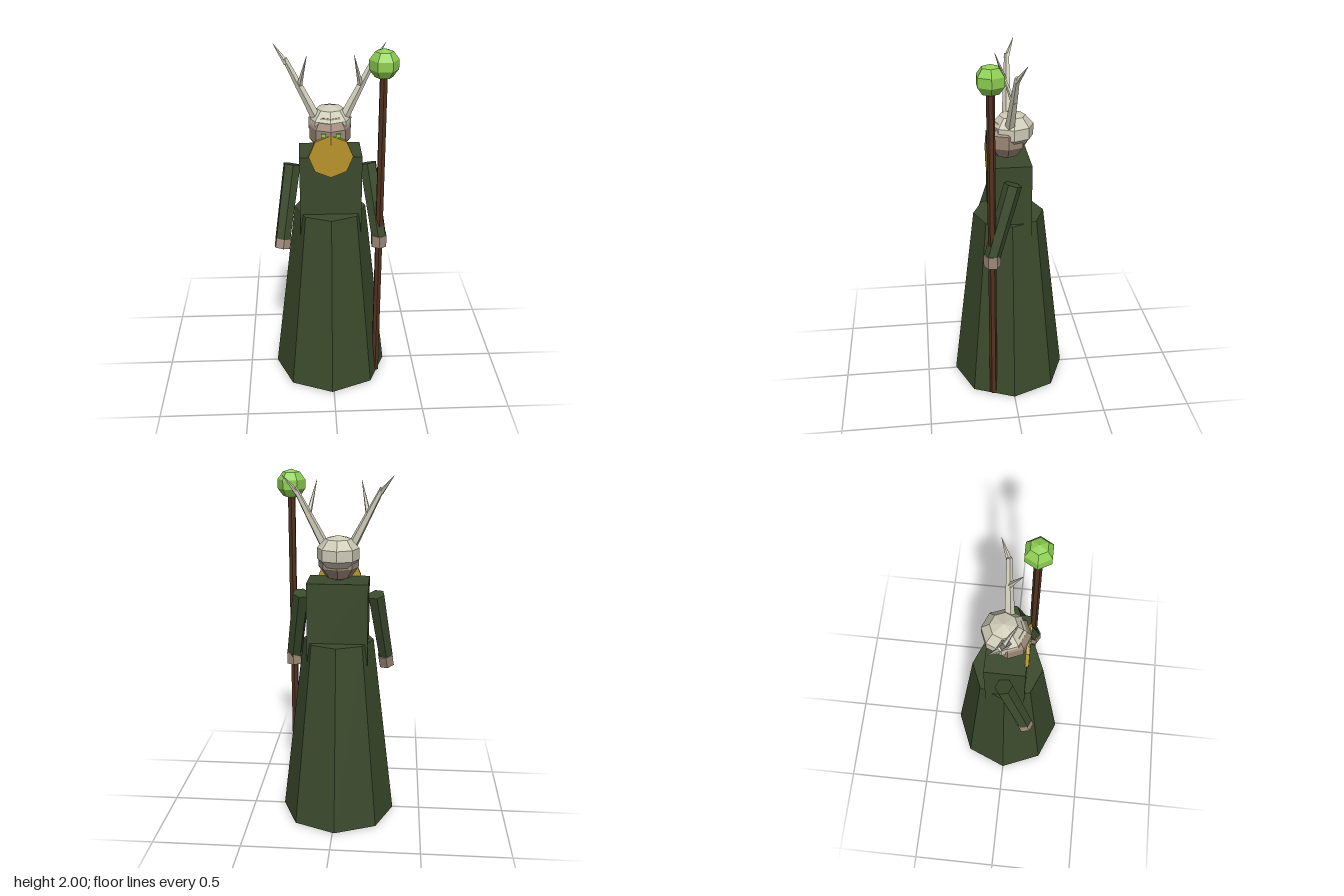
import * as THREE from 'three';

const mat = (name, color) => {
  const m = new THREE.MeshStandardMaterial({ color, flatShading: true });
  m.name = name;
  return m;
};

export function createModel() {
  const robeGreen = mat('robe green', 0x3b4a2c);
  const skin = mat('weathered skin', 0x9c8978);
  const bone = mat('bone', 0xd0ccb9);
  const gold = mat('golden beard', 0xb8942c);
  const wood = mat('dark wood', 0x51321f);
  const glow = mat('glowing green', 0x8ed052);

  // The figure stands slightly off centre because the staff widens one side
  const model = new THREE.Group();
  model.name = 'robedFigure';
  const body = new THREE.Group();
  body.name = 'body';
  body.position.x = -0.01;
  model.add(body);

  const add = (name, geometry, material, x, y, z, parent = body) => {
    const m = new THREE.Mesh(geometry, material);
    m.name = name;
    m.position.set(x, y, z);
    parent.add(m);
    return m;
  };

  // Tapered limb running from point a to point b
  const up = new THREE.Vector3(0, 1, 0);
  const limb = (name, a, b, ra, rb, sides, material, parent = body) => {
    const from = new THREE.Vector3(...a), to = new THREE.Vector3(...b);
    const dir = to.clone().sub(from);
    const mid = from.clone().add(to).multiplyScalar(0.5);
    const geo = new THREE.CylinderGeometry(rb, ra, dir.length(), sides);
    const m = add(name, geo, material, mid.x, mid.y, mid.z, parent);
    m.quaternion.setFromUnitVectors(up, dir.normalize());
    return m;
  };

  // Robe and torso
  add('robe', new THREE.CylinderGeometry(0.2, 0.33, 1.07, 8), robeGreen, 0, 0.535, 0);
  add('torso', new THREE.BoxGeometry(0.34, 0.47, 0.22), robeGreen, 0, 1.175, 0);

  // Head, helmet and beard
  add('head', new THREE.SphereGeometry(0.117, 8, 5), skin, 0, 1.52, 0.01);
  const helmet = add('helmet', new THREE.SphereGeometry(0.122, 8, 5), bone, 0, 1.563, -0.02);
  helmet.scale.y = 0.82;
  const beard = add('beard', new THREE.CylinderGeometry(0.12, 0.12, 0.02, 8), gold, 0, 1.416, 0.11);
  beard.rotation.x = Math.PI / 2;

  for (const s of [1, -1]) {
    const side = s > 0 ? 'left' : 'right';

    // Eye plate
    add(side + 'Eye', new THREE.BoxGeometry(0.027, 0.02, 0.009), glow, s * 0.04, 1.535, 0.116);

    // Arm and hand; the left hand stays upright around the staff
    const arm = limb(side + 'Arm', [s * 0.21, 1.33, 0], [s * 0.27, 0.93, 0.12], 0.05, 0.045, 6, robeGreen);
    const hand = add(side + 'Hand', new THREE.CylinderGeometry(0.047, 0.047, 0.07, 6), skin,
      s * 0.27, 0.91, 0.12);
    if (s < 0) hand.quaternion.copy(arm.quaternion);

    // Antler: beam, outer tip and forward tine
    const antler = new THREE.Group();
    antler.name = side + 'Antler';
    body.add(antler);
    limb('beam', [s * 0.075, 1.6, 0], [s * 0.235, 1.915, -0.018], 0.028, 0.014, 5, bone, antler);
    limb('outerTip', [s * 0.225, 1.89, -0.014], [s * 0.296, 1.985, -0.06], 0.016, 0.001, 5, bone, antler);
    limb('forwardTine', [s * 0.165, 1.76, -0.012], [s * 0.122, 1.95, 0.06], 0.017, 0.001, 5, bone, antler);
  }

  // Staff with faceted orb
  const staff = new THREE.Group();
  staff.name = 'staff';
  staff.position.set(0.26, 0, 0.12);
  model.add(staff);
  add('shaft', new THREE.CylinderGeometry(0.022, 0.022, 1.84, 6), wood, 0, 0.925, 0, staff);
  add('orb', new THREE.SphereGeometry(0.081, 6, 5), glow, 0, 1.919, 0, staff);

  return model;
}
